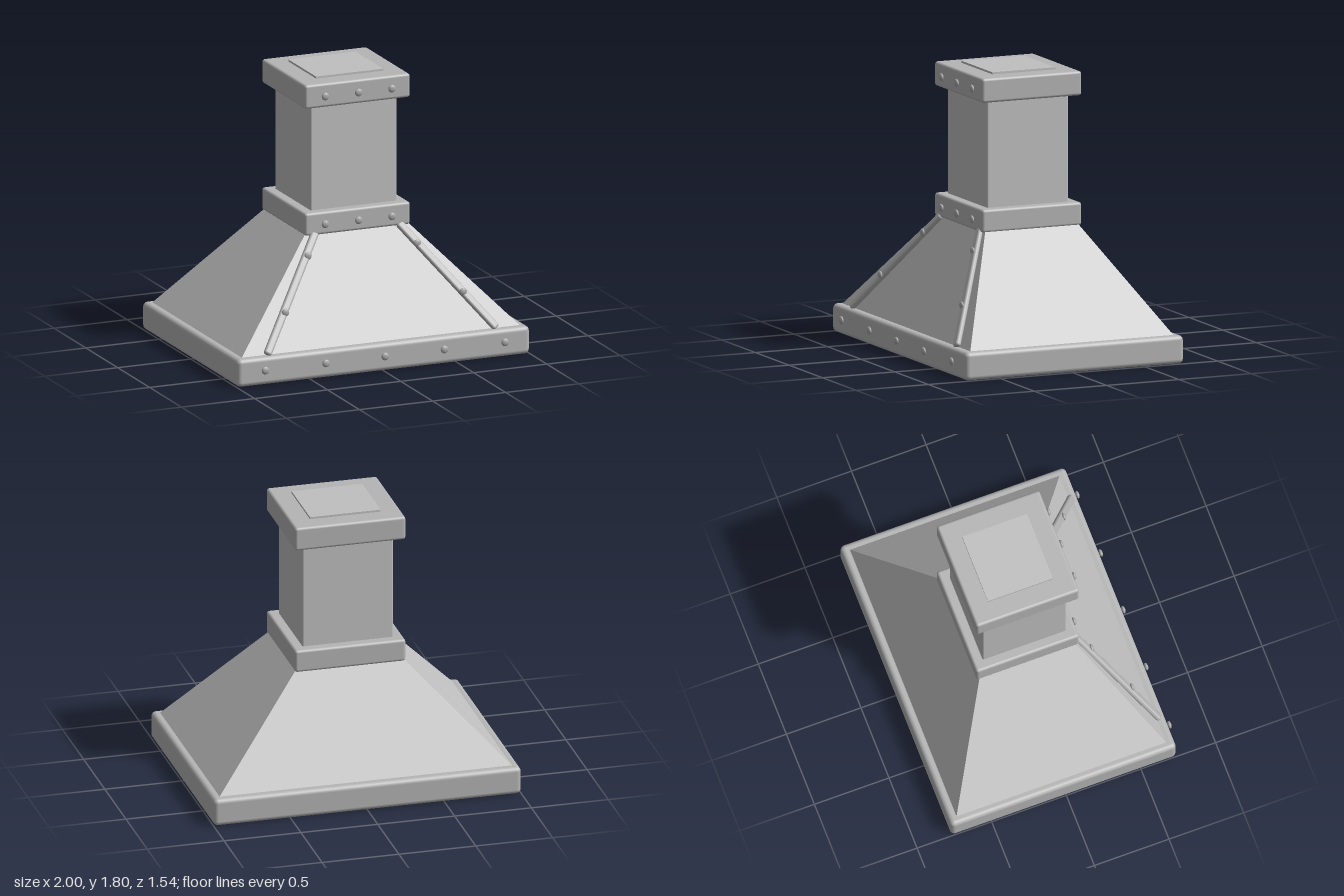
import * as THREE from 'three';
import { RoundedBoxGeometry } from 'three/addons/geometries/RoundedBoxGeometry.js';

export function createModel() {
  const model = new THREE.Group();
  model.name = 'rangeHood';
  const mat = (name, color) => {
    const m = new THREE.MeshStandardMaterial({ color });
    m.name = name;
    return m;
  };
  const body = mat('brushedSteel', 0xc0c0c0);
  const trim = mat('trimSteel', 0xb5b5b5);
  const stud = mat('rivetSteel', 0xaaaaaa);

  const add = (name, geometry, material) => {
    const mesh = new THREE.Mesh(geometry, material);
    mesh.name = name;
    model.add(mesh);
    return mesh;
  };
  // Rounded block given by half width, y range and z range
  const block = (name, hx, y0, y1, z0, z1, radius, material) => {
    const g = new RoundedBoxGeometry(2 * hx, y1 - y0, z1 - z0, 4, radius);
    return add(name, g, material).position.set(0, (y0 + y1) / 2, (z0 + z1) / 2);
  };

  block('baseBand', 1, 0, 0.18, -0.77, 0.74, 0.03, trim);
  block('lowerCollar', 0.36, 0.81, 0.957, -0.36, 0.328, 0.018, trim);
  block('chimney', 0.295, 0.9, 1.7, -0.295, 0.265, 0.01, body);
  block('upperCollar', 0.36, 1.637, 1.792, -0.36, 0.328, 0.018, trim);
  add('topPlate', new THREE.BoxGeometry(0.46, 0.02, 0.435), body).position.set(0, 1.795, -0.018);

  // Sloping hood: a box whose upper and lower rims are set separately
  const hoodGeo = new THREE.BoxGeometry(2, 2, 2);
  const p = hoodGeo.attributes.position;
  for (let i = 0; i < p.count; i++) {
    const top = p.getY(i) > 0, front = p.getZ(i) > 0;
    const z = top ? (front ? 0.308 : -0.34) : (front ? 0.69 : -0.72);
    p.setXYZ(i, Math.sign(p.getX(i)) * (top ? 0.355 : 0.955), top ? 0.815 : 0.175, z);
  }
  hoodGeo.computeVertexNormals();
  add('hood', hoodGeo, body);

  // Flattened domed rivets
  const rivetGeo = new THREE.SphereGeometry(0.025, 20, 12);
  rivetGeo.scale(1, 1, 0.5);
  const rivet = (x, y, z) => {
    const m = add('rivet', rivetGeo, stud);
    m.position.set(x, y, z);
    return m;
  };
  for (const x of [-0.82, -0.405, 0, 0.405, 0.82]) rivet(x, 0.1, 0.758);
  for (const y of [0.88, 1.712]) {
    for (const x of [-0.228, 0, 0.228]) rivet(x, y, 0.342);
  }

  // Diagonal straps lying on the front slope, with two rivets each
  const slope = new THREE.Vector3(0, 0.382, 0.64).normalize();
  for (const side of [-1, 1]) {
    const a = new THREE.Vector3(side * 0.785, 0.185, 0.705);
    const b = new THREE.Vector3(side * 0.285, 0.825, 0.312);
    const along = b.clone().sub(a);
    const length = along.length();
    along.normalize();
    const across = along.clone().cross(slope).normalize();
    const out = across.clone().cross(along);
    const strap = add('strap', new RoundedBoxGeometry(0.052, length, 0.036, 4, 0.015), trim);
    strap.position.copy(a).add(b).multiplyScalar(0.5);
    strap.quaternion.setFromRotationMatrix(new THREE.Matrix4().makeBasis(across, along, out));
    rivet(side * 0.374, 0.705, 0.404);
    rivet(side * 0.608, 0.41, 0.588);
  }
  return model;
}
